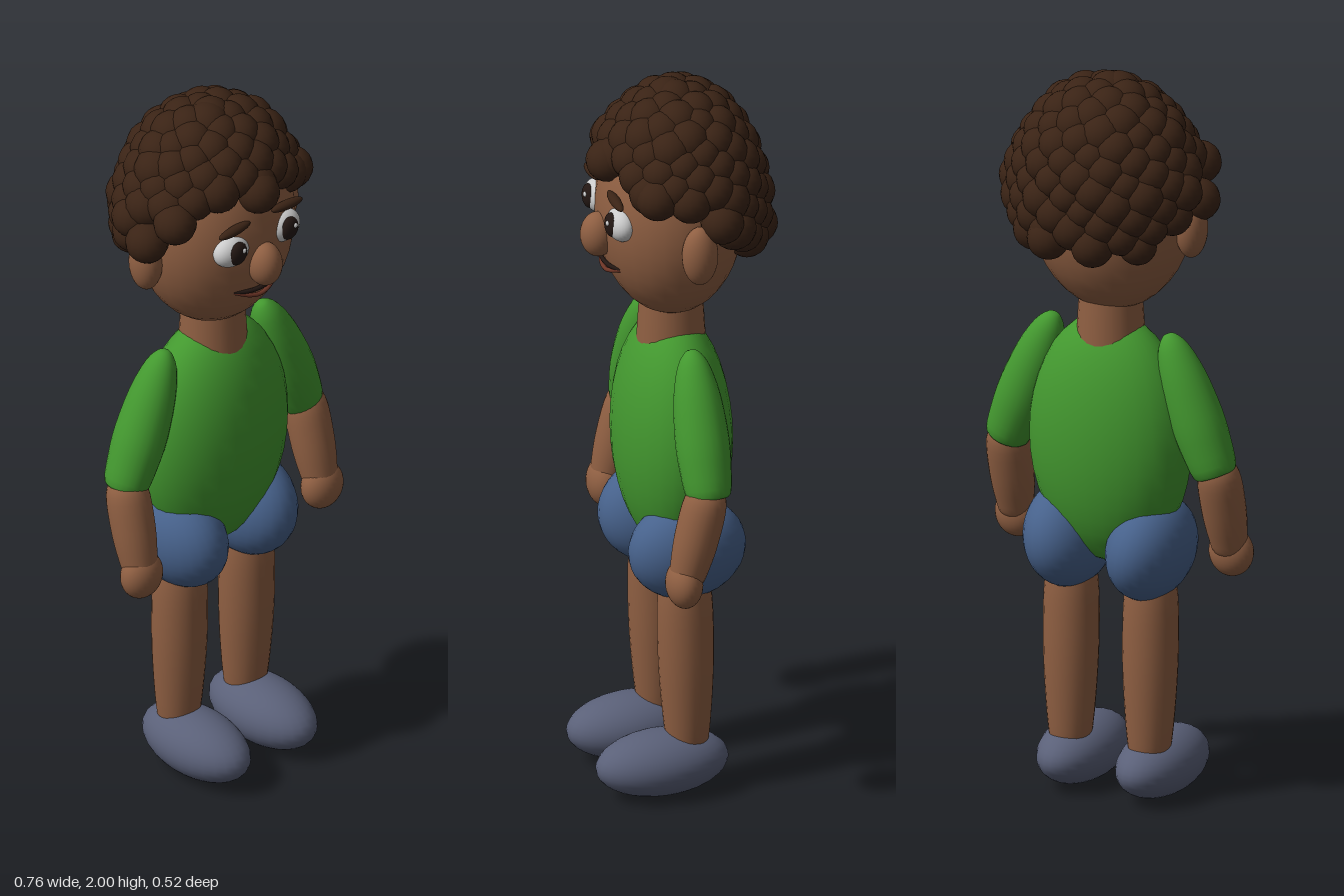
import * as THREE from 'three';

const mat = (color) => new THREE.MeshStandardMaterial({ color });
const skin = mat(0x8f5f42), shirt = mat(0x43982f), denim = mat(0x47628c), shoeMat = mat(0x5a6078);
const hairMat = mat(0x3a2315), white = mat(0xf0f0ee), dark = mat(0x231713), lip = mat(0x6e3526);

const ball = new THREE.SphereGeometry(1, 28, 20);
const curlBall = new THREE.SphereGeometry(1, 16, 12);

function add(parent, name, geometry, material, pos = [0, 0, 0]) {
  const mesh = new THREE.Mesh(geometry, material);
  mesh.name = name;
  mesh.position.set(...pos);
  parent.add(mesh);
  return mesh;
}

function ellipsoid(parent, name, material, pos, radii, geometry = ball) {
  const mesh = add(parent, name, geometry, material, pos);
  mesh.scale.set(...radii);
  return mesh;
}

// Rounded limb turned around the line from a to b; profile = [radius, t along the line]
function limb(parent, name, material, a, b, profile) {
  const from = new THREE.Vector3(...a), dir = new THREE.Vector3(...b).sub(from);
  const len = dir.length();
  const ends = profile.map(([r, t]) => new THREE.Vector2(r, t * len));
  const pts = new THREE.SplineCurve(ends).getPoints(24);
  pts.forEach((p) => { p.x = Math.max(p.x, 0); });
  const mesh = add(parent, name, new THREE.LatheGeometry(pts, 24), material, a);
  mesh.quaternion.setFromUnitVectors(new THREE.Vector3(0, 1, 0), dir.normalize());
  return mesh;
}

function addFace(head) {
  ellipsoid(head, 'skull', skin, [0, 1.635, 0.015], [0.225, 0.288, 0.193]);
  ellipsoid(head, 'nose', skin, [0, 1.59, 0.21], [0.046, 0.062, 0.048]);
  for (const s of [1, -1]) {
    ellipsoid(head, 'ear', skin, [s * 0.238, 1.605, 0.012], [0.042, 0.082, 0.048]);
    ellipsoid(head, 'eye', white, [s * 0.09, 1.655, 0.178], [0.054, 0.045, 0.038]);
    ellipsoid(head, 'iris', dark, [s * 0.09, 1.657, 0.204], [0.03, 0.033, 0.018]);
    ellipsoid(head, 'eyeHighlight', white, [s * 0.09 + 0.01, 1.668, 0.219], [0.007, 0.007, 0.005]);
    const brow = ellipsoid(head, 'eyebrow', hairMat, [s * 0.092, 1.725, 0.195], [0.054, 0.013, 0.014]);
    brow.rotation.z = s * -0.06;
  }
  // Upper and lower lip
  [0.003, -0.016].forEach((dip, i) => {
    const curve = new THREE.CatmullRomCurve3([
      new THREE.Vector3(-0.075, 1.513, 0.172), new THREE.Vector3(-0.035, 1.508 + dip * 0.7, 0.19),
      new THREE.Vector3(0, 1.506 + dip, 0.194),
      new THREE.Vector3(0.035, 1.508 + dip * 0.7, 0.19), new THREE.Vector3(0.075, 1.513, 0.172)]);
    add(head, i ? 'lowerLip' : 'upperLip', new THREE.TubeGeometry(curve, 20, 0.006, 8), i ? lip : dark);
  });
}

// Curls spread in a spiral over the scalp, kept above a hairline
function addHair(head) {
  const hair = new THREE.Group();
  hair.name = 'hair';
  head.add(hair);
  let seed = 7;
  const rand = () => (seed = (seed * 16807) % 2147483647) / 2147483647;
  const count = 150;
  for (let i = 0; i < count; i++) {
    const h = 1 - (i / count) * 1.35;
    const a = i * 2.39996;
    const ring = Math.sqrt(1 - h * h);
    const x = Math.cos(a) * ring * 0.228;
    const z = Math.sin(a) * ring * 0.195 - 0.005;
    const y = 1.665 + h * 0.276;
    const hairline = z > 0.05 ? (Math.abs(x) > 0.13 ? 1.75 : 1.79) : z > -0.04 ? 1.75 : z > -0.1 ? 1.63 : 1.58;
    const r = 0.05 + rand() * 0.011;
    if (y > hairline) ellipsoid(hair, 'curl', hairMat, [x, y, z], [r, r, r], curlBall);
  }
  // Loose curls at the temples, crown and nape
  const loose = [[-0.25, 1.68, 0.03], [-0.215, 1.755, 0.1], [-0.235, 1.72, -0.04], [0.235, 1.69, -0.05],
    [0.185, 1.76, 0.11], [0, 1.8, 0.185], [0, 1.942, 0], [-0.06, 1.59, -0.2], [0.07, 1.59, -0.2]];
  for (const p of loose) ellipsoid(hair, 'curl', hairMat, p, [0.057, 0.057, 0.057], curlBall);
}

function addArm(body, s) {
  const arm = new THREE.Group();
  arm.name = s > 0 ? 'leftArm' : 'rightArm';
  body.add(arm);
  limb(arm, 'sleeve', shirt, [s * 0.31, 0.935, 0.012], [s * 0.168, 1.3, 0.012],
    [[0, 0], [0.035, 0], [0.058, 0.015], [0.068, 0.2], [0.071, 0.4], [0.062, 0.68], [0.042, 0.89], [0.018, 0.985], [0, 1]]);
  limb(arm, 'forearm', skin, [s * 0.317, 0.7, 0.08], [s * 0.312, 0.97, 0.012],
    [[0, 0], [0.04, 0.03], [0.052, 0.2], [0.059, 0.5], [0.056, 0.85], [0.03, 1], [0, 1]]);
  ellipsoid(arm, 'hand', skin, [s * 0.317, 0.702, 0.083], [0.062, 0.067, 0.048]);
}

function addLeg(body, s) {
  const leg = new THREE.Group();
  leg.name = s > 0 ? 'leftLeg' : 'rightLeg';
  body.add(leg);
  const shorts = ellipsoid(leg, 'shortsLeg', denim, [s * 0.122, 0.703, 0.008], [0.108, 0.142, 0.158]);
  shorts.rotation.z = s * -0.14;
  limb(leg, 'shin', skin, [s * 0.117, 0.12, 0.005], [s * 0.118, 0.66, 0.014],
    [[0, 0], [0.045, 0.01], [0.058, 0.08], [0.07, 0.35], [0.074, 0.6], [0.07, 0.85], [0.05, 1], [0, 1]]);
  ellipsoid(leg, 'shoe', shoeMat, [s * 0.117, 0.091, 0.075], [0.1, 0.088, 0.18]);
}

export function createModel() {
  const model = new THREE.Group();
  model.name = 'figure';

  const head = new THREE.Group();
  head.name = 'head';
  model.add(head);
  addFace(head);
  addHair(head);

  add(model, 'neck', new THREE.CylinderGeometry(0.08, 0.092, 0.2, 24), skin, [0, 1.34, 0.01]);
  ellipsoid(model, 'torso', shirt, [0, 0.99, 0.009], [0.228, 0.341, 0.151]);
  for (const s of [1, -1]) {
    addArm(model, s);
    addLeg(model, s);
  }
  return model;
}
